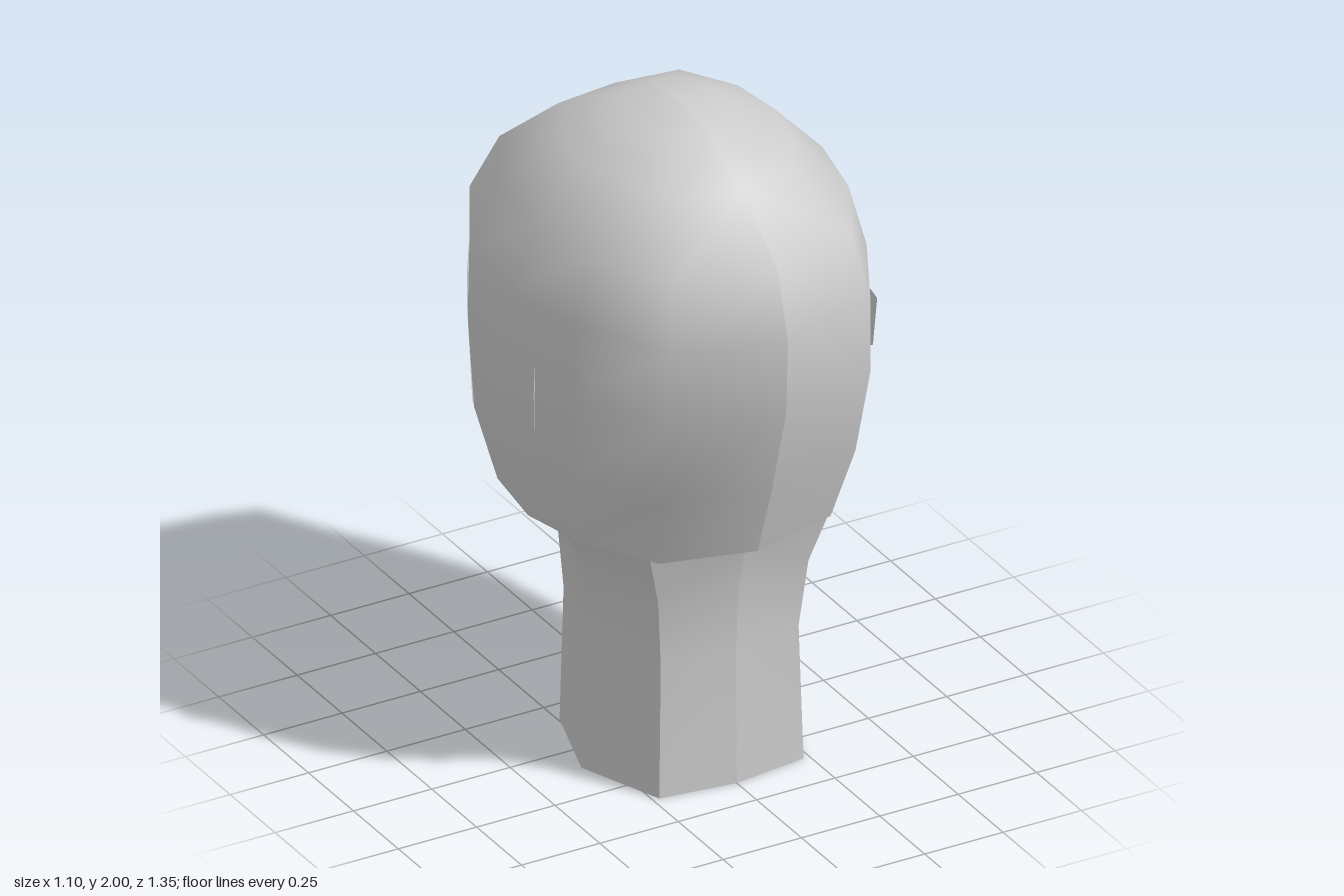
import * as THREE from 'three';
import { toCreasedNormals } from 'three/addons/utils/BufferGeometryUtils.js';

const clay = new THREE.MeshStandardMaterial({ color: 0xcccccc, side: THREE.DoubleSide });
clay.name = 'grey clay';

// Triangles for one side of the model; side = -1 mirrors them across x = 0
function addTriangles(group, name, triangles, side, crease) {
  const pos = [];
  for (const [a, b, c] of triangles) {
    const [p, q, r] = [a, b, c].map((v) => new THREE.Vector3(v[0] * side, v[1], v[2]));
    const area = q.clone().sub(p).cross(r.clone().sub(p)).length();
    if (area < 1e-7) continue;
    for (const v of side > 0 ? [p, q, r] : [p, r, q]) pos.push(v.x, v.y, v.z);
  }
  const geo = new THREE.BufferGeometry();
  geo.setAttribute('position', new THREE.Float32BufferAttribute(pos, 3));
  const mesh = new THREE.Mesh(toCreasedNormals(geo, crease), clay);
  mesh.name = name;
  group.add(mesh);
}

// Strip between successive rings, listed top to bottom, each running face to back
function loft(rings, keep = () => true) {
  const out = [];
  for (let i = 0; i < rings.length - 1; i++) {
    for (let j = 0; j < rings[i].length - 1; j++) {
      if (!keep(i, j)) continue;
      const a = rings[i][j], b = rings[i][j + 1];
      const c = rings[i + 1][j], d = rings[i + 1][j + 1];
      out.push([a, b, c], [b, d, c]);
    }
  }
  return out;
}

const fan = (hub, pts) => pts.slice(1).map((p, i) => [hub, pts[i], p]);

// Half outline of the skull: share of half width, share of depth from face to back
const outline = [[0, 0], [0.62, 0.032], [0.93, 0.256], [1, 0.49], [0.895, 0.7], [0.61, 0.925], [0, 1]];
// Height, half width, face z, back z
const skullRings = [
  [2, 0, 0.07, 0.07],
  [1.975, 0.155, -0.12, 0.24],
  [1.89, 0.31, -0.29, 0.42],
  [1.73, 0.46, -0.47, 0.62],
  [1.535, 0.52, -0.575, 0.675],
  [1.3, 0.527, -0.57, 0.665],
  [1.02, 0.515, -0.52, 0.585],
  [0.79, 0.45, -0.46, 0.505],
].map(([y, w, zf, zb]) => outline.map(([u, t]) => [u * w, y, zf + t * (zb - zf)]));

// Centre line, front corner, hairline and tucked edge of the face
const faceRings = [
  [[0, 1.54, -0.51], [0.31, 1.54, -0.485], [0.488, 1.54, -0.25]],
  [[0, 1.44, -0.54], [0.32, 1.44, -0.51], [0.495, 1.44, -0.25]],
  [[0, 1.35, -0.5], [0.32, 1.35, -0.478], [0.495, 1.35, -0.25]],
  [[0, 1.04, -0.53], [0.31, 1.04, -0.49], [0.483, 1.04, -0.24]],
  [[0, 0.8, -0.53], [0.28, 0.8, -0.475], [0.43, 0.85, -0.22]],
];
const jawRings = [
  [[0, 0.8, -0.53], [0.28, 0.8, -0.475], [0.43, 0.85, -0.22], [0.43, 0.8, 0.1]],
  [[0, 0.69, -0.51], [0.15, 0.69, -0.48], [0.33, 0.7, -0.22], [0.33, 0.7, 0.1]],
  [[0, 0.62, -0.27], [0.12, 0.62, -0.255], [0.25, 0.63, -0.19], [0.315, 0.66, 0.1]],
];

const neckRings = [
  [[0, 0.8, -0.27], [0.25, 0.8, -0.22], [0.41, 0.8, 0.1], [0.29, 0.8, 0.41], [0, 0.8, 0.45]],
  [[0, 0.63, -0.265], [0.24, 0.63, -0.195], [0.315, 0.63, 0.1], [0.24, 0.63, 0.37], [0, 0.63, 0.4]],
  [[0, 0.42, -0.23], [0.235, 0.42, -0.165], [0.31, 0.42, 0.1], [0.22, 0.42, 0.35], [0, 0.42, 0.385]],
  [[0, 0, -0.23], [0.245, 0, -0.17], [0.33, 0, 0.1], [0.23, 0, 0.36], [0, 0, 0.39]],
];

// Wedge nose with a narrow ridge
const noseRings = [
  [[0, 1.37, -0.5], [0.02, 1.36, -0.505], [0.035, 1.35, -0.48]],
  [[0, 1.1, -0.675], [0.045, 1.1, -0.675], [0.105, 1.05, -0.52]],
  [[0, 1.05, -0.52], [0.05, 1.05, -0.52], [0.105, 1.05, -0.52]],
];

// Thin ear flap standing off the skull
const ear = [
  [0.5, 1.12, 0.135], [0.5, 1.365, 0.135], [0.515, 1.37, 0.165],
  [0.548, 1.3, 0.215], [0.54, 1.15, 0.205],
];

export function createModel() {
  const model = new THREE.Group();
  model.name = 'headBust';

  for (const side of [1, -1]) {
    const half = new THREE.Group();
    half.name = side > 0 ? 'leftHalf' : 'rightHalf';
    model.add(half);

    // Skull shell, open over the face below the brow line
    addTriangles(half, 'skull', loft(skullRings, (i, j) => i < 4 || j > 1), side, 1.1);
    addTriangles(half, 'browUnderside', fan([0, 1.535, -0.1], skullRings[4].slice(0, 3)), side, 0.5);
    addTriangles(half, 'skullUnderside', fan([0, 0.79, 0], skullRings[7].slice(2)), side, 0.5);

    addTriangles(half, 'face', loft(faceRings), side, 0.4);
    addTriangles(half, 'jaw', loft(jawRings), side, 0.55);
    addTriangles(half, 'neck', loft(neckRings), side, 0.85);
    addTriangles(half, 'nose', loft(noseRings), side, 0.3);
    addTriangles(half, 'ear', fan(ear[0], ear.slice(1)), side, 0.3);

    // Slim strap along the jaw
    const path = new THREE.CatmullRomCurve3([
      [0.425, 0.83, -0.13], [0.36, 0.735, -0.19], [0.25, 0.635, -0.26], [0.13, 0.605, -0.29],
    ].map(([x, y, z]) => new THREE.Vector3(x * side, y, z)));
    const strap = new THREE.Mesh(new THREE.TubeGeometry(path, 8, 0.017, 5), clay);
    strap.name = 'jawStrap';
    half.add(strap);
  }
  return model;
}
